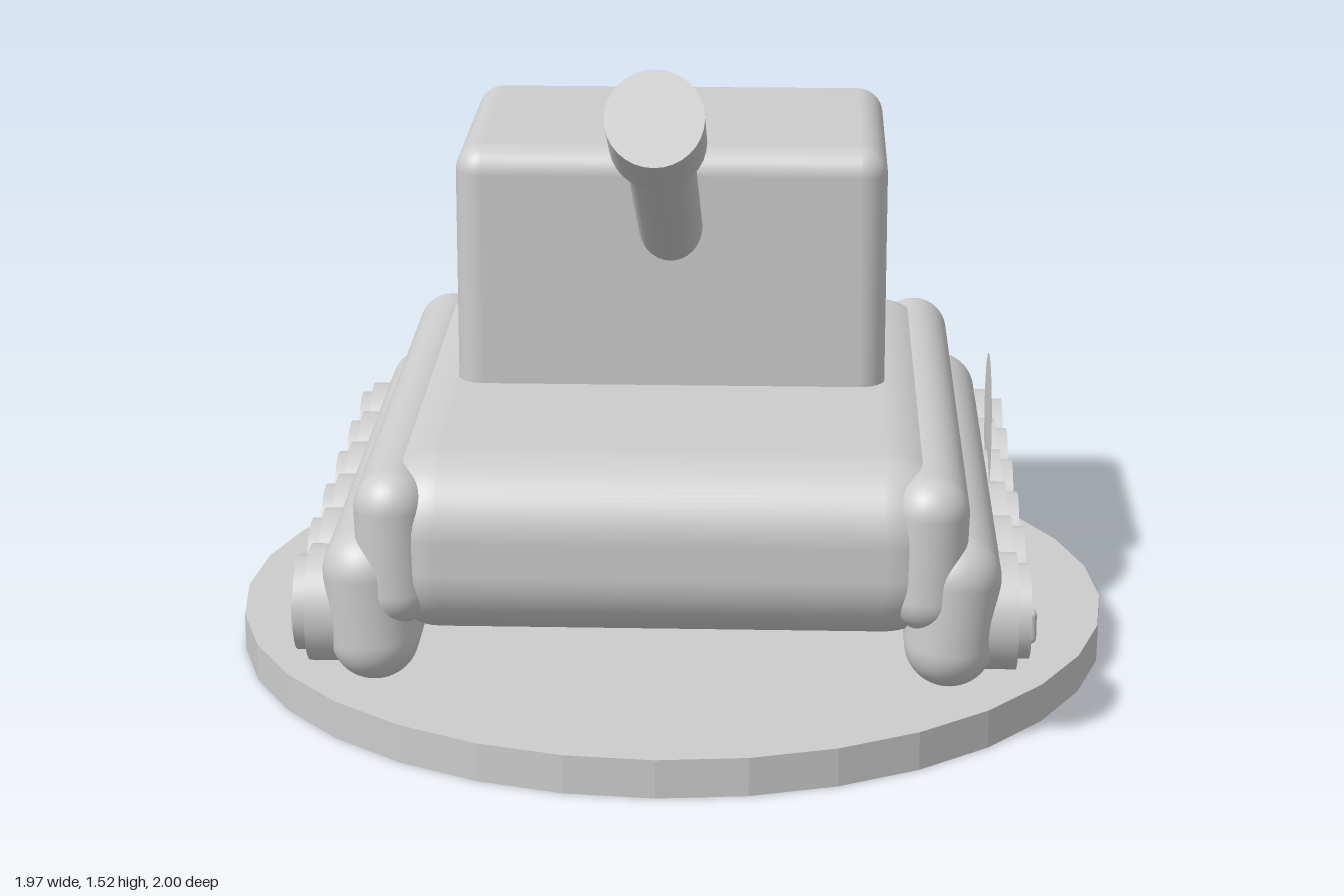
import * as THREE from 'three';
import { RoundedBoxGeometry } from 'three/addons/geometries/RoundedBoxGeometry.js';

export function createModel() {
  const model = new THREE.Group();
  model.name = 'tank';
  const grey = new THREE.MeshStandardMaterial({ color: 0xcccccc });
  grey.name = 'light grey';
  const greyThin = new THREE.MeshStandardMaterial({ color: 0xcccccc, side: THREE.DoubleSide });
  greyThin.name = 'light grey two-sided';

  function add(parent, name, geometry, x, y, z, material = grey) {
    const mesh = new THREE.Mesh(geometry, material);
    mesh.name = name;
    mesh.position.set(x, y, z);
    parent.add(mesh);
    return mesh;
  }

  // Round stand with faceted rim
  const standGeometry = new THREE.CylinderGeometry(0.985, 0.985, 0.085, 32).toNonIndexed();
  standGeometry.computeVertexNormals();
  add(model, 'stand', standGeometry, 0, 0.0425, -0.017);

  // Hull and turret
  add(model, 'hull', new RoundedBoxGeometry(1.26, 0.39, 1.49, 8, 0.16), 0, 0.425, -0.015);
  add(model, 'turret', new RoundedBoxGeometry(0.96, 0.68, 0.7, 6, 0.06), 0, 0.82, -0.245);

  // Raised gun: each piece runs between two distances along the barrel axis
  const gun = new THREE.Group();
  gun.name = 'gun';
  gun.position.set(0, 0.935, 0);
  gun.rotation.x = Math.PI / 2 - 0.478;
  model.add(gun);
  const gunPiece = (name, radius, from, to) =>
    add(gun, name, new THREE.CylinderGeometry(radius, radius, to - from, 32), 0, (from + to) / 2, 0);
  gunPiece('barrel', 0.071, -0.08, 0.92);
  gunPiece('muzzle', 0.099, 0.888, 1.075);

  // Track guards and road wheels on both sides
  const upperGuard = new RoundedBoxGeometry(0.16, 0.34, 1.5, 8, 0.079);
  const lowerGuard = new RoundedBoxGeometry(0.19, 0.335, 1.5, 8, 0.094);
  const tyre = new THREE.CylinderGeometry(0.125, 0.125, 0.12, 32).rotateZ(Math.PI / 2);
  const hub = new THREE.CylinderGeometry(0.102, 0.102, 0.1, 32).rotateZ(Math.PI / 2);
  const pin = new RoundedBoxGeometry(0.06, 0.075, 0.03, 4, 0.012);
  for (const side of [1, -1]) {
    const track = new THREE.Group();
    track.name = side > 0 ? 'leftTrack' : 'rightTrack';
    model.add(track);
    add(track, 'upperGuard', upperGuard, side * 0.565, 0.43, -0.015).rotation.z = -side * 0.03;
    add(track, 'lowerGuard', lowerGuard, side * 0.617, 0.298, -0.015).rotation.z = -side * 0.09;
    for (let i = 0; i < 6; i++) {
      const wheel = new THREE.Group();
      wheel.name = 'wheel' + (i + 1);
      wheel.position.set(0, 0.27, 0.57 - i * 0.232);
      track.add(wheel);
      add(wheel, 'tyre', tyre, side * 0.695, 0, 0);
      add(wheel, 'hub', hub, side * 0.733, 0, 0);
      add(wheel, 'pin', pin, side * 0.77, -0.035, 0);
    }
  }

  // Flat round plate on the left flank only
  const plate = add(model, 'sidePlate', new THREE.CircleGeometry(0.158, 32), 0.725, 0.47, -0.122, greyThin);
  plate.rotation.y = Math.PI / 2;

  return model;
}
